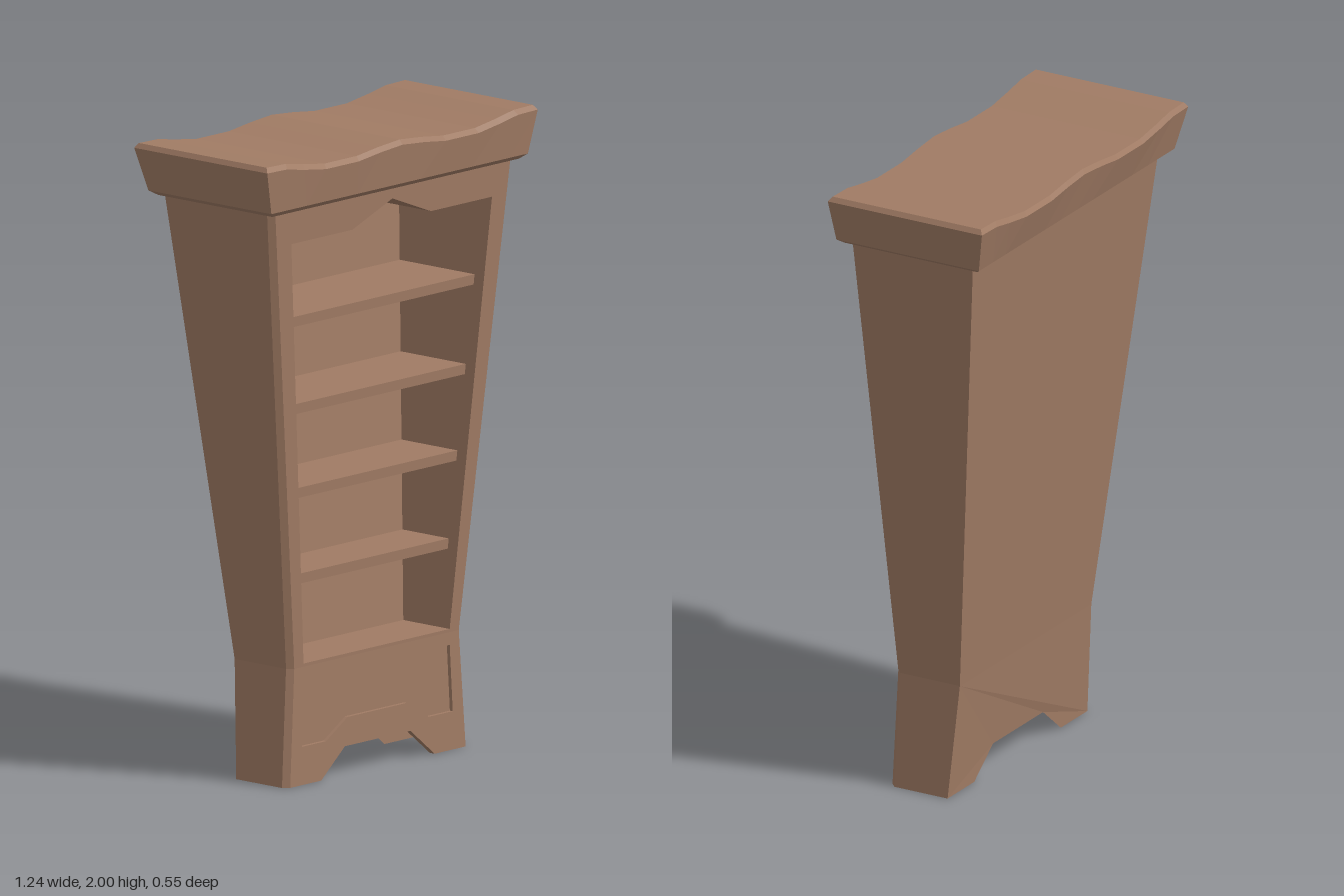
import * as THREE from 'three';

const wood = new THREE.MeshStandardMaterial({ color: 0xa07b64, side: THREE.DoubleSide, flatShading: true });

// Piecewise linear function through [position, value] pairs
const curve = (...pts) => (t) => {
  let i = 1;
  while (i < pts.length - 1 && t > pts[i][0]) i++;
  const [a, b] = [pts[i - 1], pts[i]];
  return THREE.MathUtils.lerp(a[1], b[1], (t - a[0]) / (b[0] - a[0]));
};

// Carcass profile by height
const frontZ = curve([0, 0.175], [0.37, 0.169], [1.84, 0.237]);
const backZ = curve([0, -0.033], [0.09, -0.035], [0.37, -0.062], [1.84, -0.205]);
const halfWidth = curve([0, 0.42], [0.37, 0.395], [1.84, 0.557]);
const openingHalf = curve([0.38, 0.335], [1.73, 0.46]);
const CHAMFER = 0.018;
const INNER = 0.04; // thickness of the back board, setback of the shelves

const mesh = (name, geometry) => {
  const m = new THREE.Mesh(geometry, wood);
  m.name = name;
  return m;
};

// Skin a list of rings; caps join front points to the matching back points
function loft(rings, { closed = true, caps = false } = {}) {
  const pos = [];
  const quad = (a, b, c, d) => pos.push(...a, ...b, ...c, ...a, ...c, ...d);
  const n = rings[0].length;
  for (let r = 0; r < rings.length - 1; r++) {
    for (let i = 0; i < (closed ? n : n - 1); i++) {
      const j = (i + 1) % n;
      quad(rings[r][i], rings[r][j], rings[r + 1][j], rings[r + 1][i]);
    }
  }
  if (caps) {
    const lo = rings[0], hi = rings[rings.length - 1];
    for (let i = 0; i < n / 2 - 1; i++) {
      quad(hi[i], hi[i + 1], hi[n - 2 - i], hi[n - 1 - i]);
      quad(lo[n - 1 - i], lo[n - 2 - i], lo[i + 1], lo[i]);
    }
  }
  const g = new THREE.BufferGeometry();
  g.setAttribute('position', new THREE.Float32BufferAttribute(pos, 3));
  g.computeVertexNormals();
  return g;
}

// Flat outline pushed onto the surface z = zAt(y)
function board(outline, zAt, hole, flip = false) {
  const toV = (pts) => pts.map(([x, y]) => new THREE.Vector2(x, y));
  const shape = new THREE.Shape(toV(outline));
  if (hole) shape.holes.push(new THREE.Path(toV(hole)));
  const g = new THREE.ShapeGeometry(shape);
  const p = g.attributes.position;
  for (let i = 0; i < p.count; i++) p.setZ(i, zAt(p.getY(i)));
  if (flip) g.index.array.reverse();
  g.computeVertexNormals();
  return g;
}

// Add the mirrored half of an outline given from bottom to top on the +x side
const mirrored = (half) => [
  ...half,
  ...half.filter(([x]) => x > 0).reverse().map(([x, y]) => [-x, y]),
];

export function createModel() {
  const group = new THREE.Group();
  const add = (name, g) => group.add(mesh(name, g));

  const opening = mirrored([[0.335, 0.38], [0.46, 1.73], [0.18, 1.73], [0, 1.8]]);
  const panel = mirrored([[0.235, 0.12], [0.345, 0.12], [0.335, 0.33]]);
  // the panel's bottom edge steps up over the arch
  panel.push([-0.135, 0.18], [0.135, 0.18]);
  const arch = [[-0.26, 0], [-0.15, 0.09], [0.15, 0.09], [0.26, 0]];

  // Front face: upper frame and lower apron meet at the waist
  const edge = (y, c) => [halfWidth(y) - c, y];
  const flipX = ([x, y]) => [-x, y];
  const upper = (c) => mirrored([edge(0.37, c), edge(1.84, c)]);
  const lower = (c) => [
    flipX(edge(0, c)), ...arch, edge(0, c), edge(0.09, c),
    edge(0.37, c), flipX(edge(0.37, c)), flipX(edge(0.09, c)),
  ];
  add('frontFrame', board(upper(CHAMFER), frontZ, opening));
  add('frontApron', board(lower(CHAMFER), frontZ, panel));
  add('upperBack', board(upper(0), backZ, null, true));
  add('lowerBack', board(lower(0), backZ, null, true));

  // Flaring sides with chamfered front corners
  for (const s of [1, -1]) {
    const rings = [0, 0.09, 0.37, 1.84].map((y) => {
      const w = halfWidth(y), f = frontZ(y);
      const ring = [[s * (w - CHAMFER), y, f], [s * w, y, f - CHAMFER], [s * w, y, backZ(y)]];
      return s > 0 ? ring : ring.reverse();
    });
    add(s > 0 ? 'leftSide' : 'rightSide', loft(rings, { closed: false }));
  }

  // Lip along the arch between the feet
  add('archLip', loft([0.02, 0].map((d) => arch.map(([x, y]) => [x, y, frontZ(y) - d])), { closed: false }));

  // Recesses: walls running inward from an outline, closed by a board
  const recess = (name, outline, floorZ) => {
    const ring = (zAt) => outline.map(([x, y]) => [x, y, zAt(y)]);
    add(name + 'Walls', loft([ring(frontZ), ring(floorZ)]));
    add(name + 'Board', board(outline, floorZ));
  };
  recess('opening', opening, (y) => backZ(y) + INNER);
  recess('apronPanel', panel, (y) => frontZ(y) - 0.012);

  // Shelves follow the taper of the opening
  for (const y of [0.625, 0.9, 1.17, 1.45]) {
    const rings = [y, y + 0.032].map((h) => {
      const w = openingHalf(h), f = frontZ(h) - INNER, b = backZ(h) + INNER;
      return [[-w, h, f], [w, h, f], [w, h, b], [-w, h, b]];
    });
    add('shelf', loft(rings, { caps: true }));
  }

  // Crown: flared moulding with a wavy top
  const wave = curve([0, 1.99], [0.1, 1.982], [0.2, 1.97], [0.35, 1.97], [0.45, 1.984], [0.53, 1.998], [0.62, 2]);
  const half = [0.1, 0.2, 0.35, 0.45, 0.53, 0.62];
  const xs = [...half.map((x) => -x).reverse(), 0, ...half];
  const crownRing = (yAt, hx, f, b) => {
    const row = (z) => xs.map((x) => [(x * hx) / 0.62, yAt(Math.abs(x)), z]);
    return [...row(f), ...row(b).reverse()];
  };
  add('crown', loft([
    crownRing(() => 1.835, 0.565, 0.248, -0.225),
    crownRing(() => 1.85, 0.588, 0.265, -0.245),
    crownRing((x) => wave(x) - 0.015, 0.62, 0.277, -0.275),
    crownRing(wave, 0.61, 0.265, -0.265),
  ], { caps: true }));

  return group;
}
